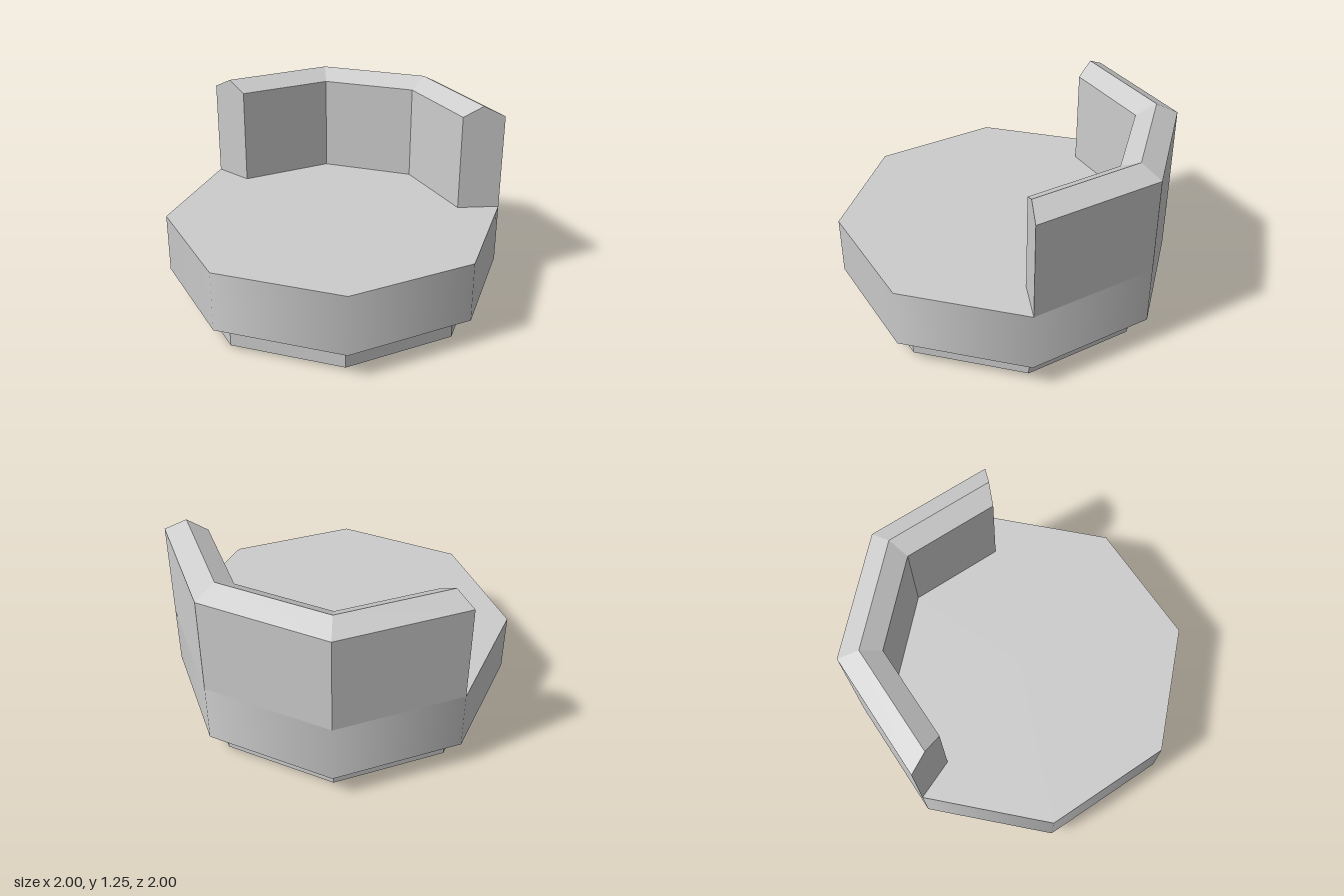
import * as THREE from 'three';

export function createModel() {
  const model = new THREE.Group();
  const grey = new THREE.MeshStandardMaterial({ color: 0xcccccc });
  grey.name = 'light grey';

  const add = (name, geometry, y = 0) => {
    const mesh = new THREE.Mesh(geometry, grey);
    mesh.name = name;
    mesh.position.y = y;
    model.add(mesh);
  };

  // Octagonal prism with a flat side facing front, sized across its flats
  const octagon = (apothem, height) => {
    const radius = apothem / Math.cos(Math.PI / 8);
    return new THREE.CylinderGeometry(radius, radius, height, 8).rotateY(Math.PI / 8);
  };

  // Recessed plinth with hard edges
  const plinth = octagon(0.88, 0.17).toNonIndexed();
  plinth.computeVertexNormals();
  add('plinth', plinth, 0.085);

  // Seat with smooth-shaded sides
  add('seat', octagon(1, 0.385), 0.3625);

  // Backrest: one [distance, height] section swept along three octagon sides
  const section = [[1, 0.555], [1, 1.18], [0.87, 1.25], [0.75, 1.18], [0.75, 0.555]];
  const k = Math.tan(Math.PI / 8);
  const corners = [[-1, -k], [-k, -1], [k, -1], [1, -k]];
  const rings = corners.map(([x, z]) => section.map(([d, y]) => [x * d, y, z * d]));
  const points = [];
  const triangle = (a, b, c) => points.push(...a, ...b, ...c);
  const n = section.length;
  for (let i = 0; i < 3; i++) {
    for (let j = 0; j < n; j++) {
      const m = (j + 1) % n;
      triangle(rings[i][j], rings[i][m], rings[i + 1][m]);
      triangle(rings[i][j], rings[i + 1][m], rings[i + 1][j]);
    }
  }
  // End caps
  const [first, last] = [rings[0], rings[3]];
  for (let j = 1; j < n - 1; j++) {
    triangle(first[0], first[j + 1], first[j]);
    triangle(last[0], last[j], last[j + 1]);
  }
  const backrest = new THREE.BufferGeometry();
  backrest.setAttribute('position', new THREE.Float32BufferAttribute(points, 3));
  backrest.computeVertexNormals();
  add('backrest', backrest);

  return model;
}
